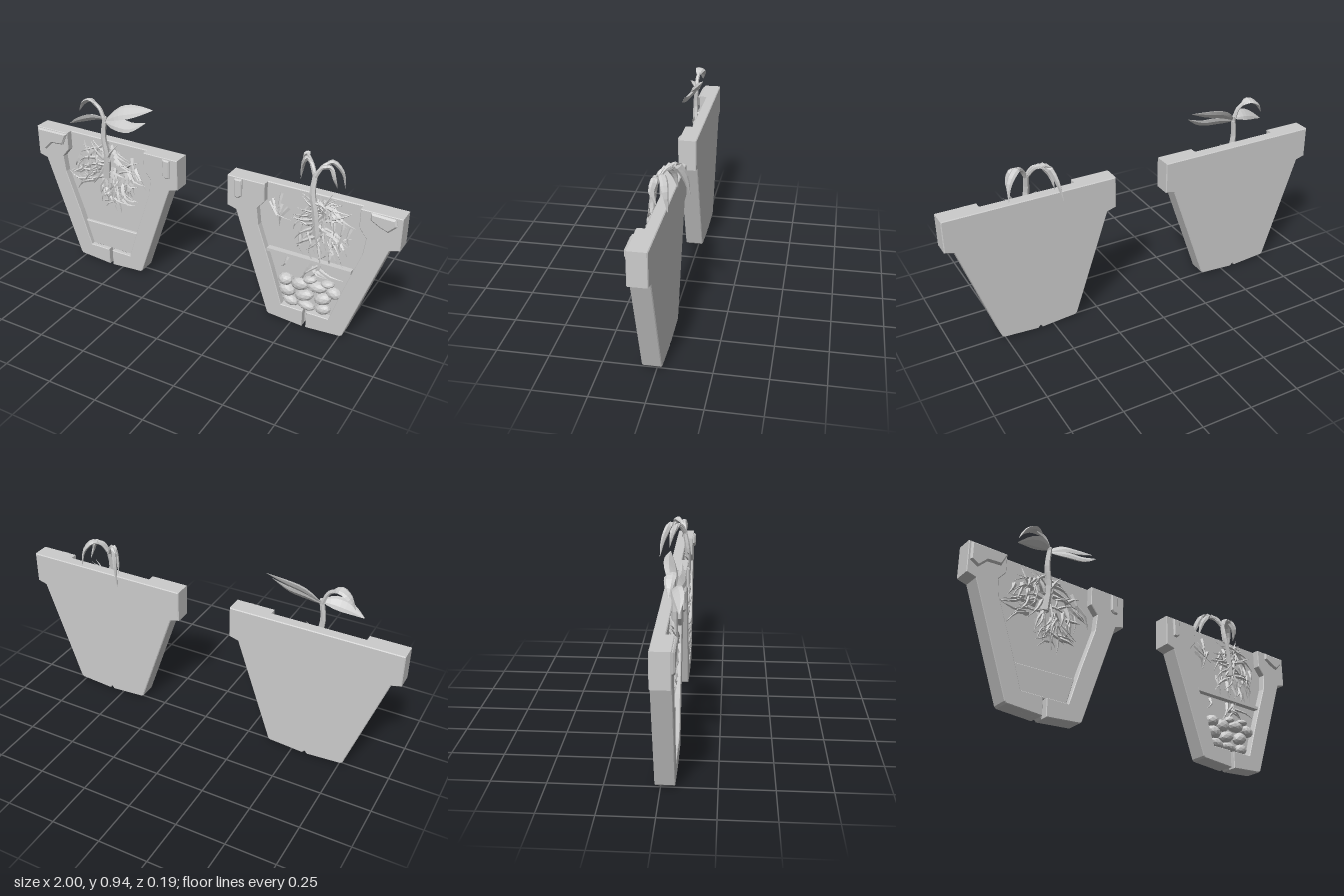
import * as THREE from 'three';

const mat = new THREE.MeshStandardMaterial({ color: 0xcccccc, flatShading: true });
const V = (p) => new THREE.Vector3(...p);
const BACK = -0.025, FLOOR = 0.03, FRONT = 0.065;

function seeded(seed) {
  return () => {
    seed = (seed * 16807) % 2147483647;
    return seed / 2147483647;
  };
}

function add(parent, name, geometry) {
  const mesh = new THREE.Mesh(geometry, mat);
  mesh.name = name;
  parent.add(mesh);
  return mesh;
}

// Flat outline extruded between two depths
function slab(points, z0, z1, bevel = 0) {
  const shape = new THREE.Shape(points.map(([x, y]) => new THREE.Vector2(x, y)));
  const g = new THREE.ExtrudeGeometry(shape, {
    depth: z1 - z0 - 2 * bevel, bevelEnabled: bevel > 0,
    bevelSize: bevel, bevelThickness: bevel, bevelOffset: -bevel, bevelSegments: 1,
  });
  return g.translate(0, 0, z0 + bevel);
}

// Sweep an oval section along a curve; width(t) and thick(t) are half sizes
function loft(points, side, width, thick, rows = 8, sides = 6) {
  const curve = new THREE.CatmullRomCurve3(points.map(V));
  const pos = [], index = [];
  for (let i = 0; i <= rows; i++) {
    const t = i / rows, c = curve.getPoint(t), dir = curve.getTangent(t);
    const s = V(side).addScaledVector(dir, -V(side).dot(dir)).normalize();
    const n = dir.clone().cross(s);
    for (let j = 0; j < sides; j++) {
      const a = (j / sides) * Math.PI * 2;
      const p = c.clone().addScaledVector(s, Math.cos(a) * width(t)).addScaledVector(n, Math.sin(a) * thick(t));
      pos.push(p.x, p.y, p.z);
      if (i < rows) {
        const k = (j + 1) % sides, A = i * sides + j, B = i * sides + k;
        index.push(A, B, A + sides, B, B + sides, A + sides);
      }
    }
  }
  for (let j = 1; j < sides - 1; j++) {
    const e = rows * sides;
    index.push(0, j + 1, j, e, e + j, e + j + 1);
  }
  const g = new THREE.BufferGeometry();
  g.setAttribute('position', new THREE.Float32BufferAttribute(pos, 3));
  g.setIndex(index);
  g.computeVertexNormals();
  return g;
}

const stem = (points, r0, r1) => {
  const r = (t) => r0 + (r1 - r0) * t;
  return loft(points, [0.1, 0.05, 1], r, r, 9, 6);
};
const leaf = (points, side, w, h) => {
  const bulge = (t) => 0.06 + 0.94 * Math.sin(Math.PI * Math.pow(t, 0.85));
  return loft(points, side, (t) => w * bulge(t), (t) => h * bulge(t), 9, 6);
};

// Sliced pot: back plate plus two mirrored wall halves with a drain slit between
function makePot(name) {
  const pot = new THREE.Group();
  pot.name = name;
  const outer = [[0.19, 0.013], [0.2, 0.022], [0.382, 0.552], [0.43, 0.565], [0.43, 0.725]];
  const mirror = (pts) => pts.map(([x, y]) => [-x, y]).reverse();
  add(pot, 'backPlate', slab([[0.012, 0], [...outer[0]], ...outer.slice(1), ...mirror(outer),
    [-0.012, 0], [0, 0.015]], BACK, FLOOR, 0.004));
  const wall = [[0.01, 0], ...outer, [0.235, 0.725], [0.235, 0.63], [0.272, 0.585], [0.262, 0.5],
    [0.185, 0.28], [0.125, 0.09], [0.01, 0.09]];
  add(pot, 'rightInnerWall', slab(wall, FLOOR - 0.01, FRONT, 0.003));
  add(pot, 'leftInnerWall', slab(mirror(wall), FLOOR - 0.01, FRONT, 0.003));
  return pot;
}

// Tangle of angular root shards, densest around the stem
function addRoots(parent, count, cx, cy, rx, ry, seed) {
  const rnd = seeded(seed);
  const roots = new THREE.Group();
  roots.name = 'roots';
  parent.add(roots);
  for (let i = 0; i < count; i++) {
    const a = rnd() * Math.PI * 2, d = Math.sqrt(rnd());
    const x = cx + Math.cos(a) * d * rx, y = cy + Math.sin(a) * d * ry;
    const turn = Math.atan2(y - cy - 0.12, x - cx) + (rnd() - 0.5) * 2;
    const len = 0.035 + rnd() * 0.035, bend = (rnd() - 0.5) * 0.03;
    const dx = Math.cos(turn) * len, dy = Math.sin(turn) * len, z = 0.034 + rnd() * 0.016;
    const w = 0.006 + rnd() * 0.006;
    add(roots, 'root', loft([[x - dx, y - dy, z - 0.01], [x - dy * bend * 20, y + dx * bend * 20, z + 0.008],
      [x + dx, y + dy, z - 0.004]], [-dy, dx, 0.01], (t) => w * (1.1 - t), (t) => w * (1.1 - t), 4, 4));
  }
}

// Rounded drainage stones
function addStones(parent) {
  const rnd = seeded(77);
  const spots = [
    [-0.085, 0.118, 0.042, 0.026], [0, 0.115, 0.045, 0.024], [0.085, 0.12, 0.04, 0.028],
    [-0.105, 0.175, 0.044, 0.034], [-0.015, 0.168, 0.05, 0.03], [0.08, 0.178, 0.046, 0.032],
    [-0.115, 0.232, 0.04, 0.032], [-0.04, 0.225, 0.046, 0.034], [0.05, 0.237, 0.052, 0.03],
    [0.135, 0.23, 0.04, 0.03], [0.01, 0.265, 0.036, 0.02], [0.1, 0.27, 0.035, 0.018],
  ];
  for (const [x, y, rx, ry] of spots) {
    const m = add(parent, 'stone', new THREE.IcosahedronGeometry(1, 1));
    m.scale.set(rx, ry, 0.026 + rnd() * 0.012);
    m.position.set(x, y, 0.038);
    m.rotation.z = (rnd() - 0.5) * 0.7;
  }
}

// Raised chips of broken glaze on the rim; m = -1 mirrors them
function addRimChips(parent, m, big) {
  const flip = (pts) => (m > 0 ? pts : pts.map(([x, y]) => [-x, y]).reverse());
  const patch = big
    ? [[-0.42, 0.63], [-0.38, 0.605], [-0.335, 0.65], [-0.265, 0.655], [-0.235, 0.72], [-0.42, 0.72]]
    : [[-0.41, 0.685], [-0.37, 0.645], [-0.33, 0.66], [-0.285, 0.685], [-0.285, 0.722], [-0.4, 0.718]];
  add(parent, 'rimPatch', slab(flip(patch), 0.055, 0.077, 0.008));
  add(parent, 'rimStrip', slab(flip([[0.35, 0.635], [0.365, 0.62], [0.388, 0.622], [0.39, 0.718],
    [0.35, 0.72]]), 0.055, 0.077, 0.006));
}

function makeHealthyPot() {
  const g = makePot('healthyPot');
  add(g, 'drainLayer', slab([[-0.125, 0.088], [0.125, 0.088], [0.165, 0.228], [-0.165, 0.222]], 0.02, 0.045, 0.004));
  addRimChips(g, 1, true);
  addRoots(g, 85, 0, 0.54, 0.2, 0.155, 11);
  addRoots(g, 12, 0.03, 0.42, 0.1, 0.08, 29);

  const plant = new THREE.Group();
  plant.name = 'healthyPlant';
  g.add(plant);
  add(plant, 'stem', stem([[-0.01, 0.52, 0.042], [0.002, 0.65, 0.047], [-0.012, 0.75, 0.05], [0, 0.86, 0.045]], 0.02, 0.011));
  add(plant, 'leafStalk', stem([[0, 0.83, 0.046], [-0.03, 0.9, 0.045], [-0.075, 0.927, 0.04]], 0.011, 0.009));
  add(plant, 'archedLeaf', leaf([[-0.04, 0.91, 0.045], [-0.085, 0.932, 0.04], [-0.135, 0.905, 0.035], [-0.165, 0.855, 0.035]],
    [0.1, 0.3, 1], 0.026, 0.01));
  add(plant, 'lowLeftLeaf', leaf([[0, 0.85, 0.045], [-0.06, 0.852, 0.06], [-0.13, 0.83, 0.075], [-0.195, 0.797, 0.08]],
    [0, 0.7, 0.8], 0.034, 0.011));
  add(plant, 'upperRightLeaf', leaf([[0, 0.84, 0.045], [0.08, 0.89, 0.03], [0.17, 0.915, 0.02], [0.265, 0.938, 0.015]],
    [0, 0.7, -0.75], 0.042, 0.012));
  add(plant, 'lowerRightLeaf', leaf([[0, 0.835, 0.045], [0.08, 0.845, 0.062], [0.17, 0.85, 0.072], [0.255, 0.888, 0.065]],
    [0, 0.75, -0.65], 0.034, 0.011));
  return g;
}

function makeWiltedPot() {
  const g = makePot('wiltedPot');
  const ledge = add(g, 'soilLedge', new THREE.BoxGeometry(0.43, 0.016, 0.032));
  ledge.position.set(0, 0.378, 0.044);
  addStones(g);
  addRimChips(g, -1, false);
  addRoots(g, 75, 0.05, 0.55, 0.14, 0.155, 53);
  addRoots(g, 6, -0.17, 0.59, 0.04, 0.05, 31);
  addRoots(g, 7, -0.02, 0.325, 0.14, 0.025, 91);

  const plant = new THREE.Group();
  plant.name = 'wiltedPlant';
  g.add(plant);
  add(plant, 'stem', stem([[0.03, 0.52, 0.042], [0.015, 0.65, 0.048], [-0.002, 0.73, 0.048], [0, 0.83, 0.03]], 0.02, 0.012));
  // Each drooping leaf: stalk climbs to a peak, then the blade hangs to its tip
  const droops = [
    [[-0.075, 0.88, -0.035], [-0.105, 0.81, -0.075], [-0.125, 0.712, -0.095]],
    [[-0.06, 0.87, -0.01], [-0.09, 0.83, -0.03], [-0.105, 0.755, -0.045]],
    [[0.06, 0.88, -0.01], [0.105, 0.83, -0.03], [0.118, 0.745, -0.042]],
    [[0.065, 0.865, 0.02], [0.09, 0.82, 0.03], [0.1, 0.765, 0.01]],
  ];
  for (const [peak, mid, tip] of droops) {
    const rise = [peak[0] * 0.45, 0.86, 0.02 + peak[2] * 0.4];
    add(plant, 'leafStalk', stem([[0, 0.81, 0.035], rise, peak], 0.011, 0.009));
    add(plant, 'droopingLeaf', leaf([rise, peak, mid, tip], [0.5, 0.2, 1], 0.019, 0.011));
  }
  return g;
}

export function createModel() {
  const model = new THREE.Group();
  model.name = 'plantPotSections';
  const healthy = makeHealthyPot(), wilted = makeWiltedPot();
  healthy.position.x = -0.57;
  wilted.position.x = 0.57;
  model.add(healthy, wilted);
  return model;
}
